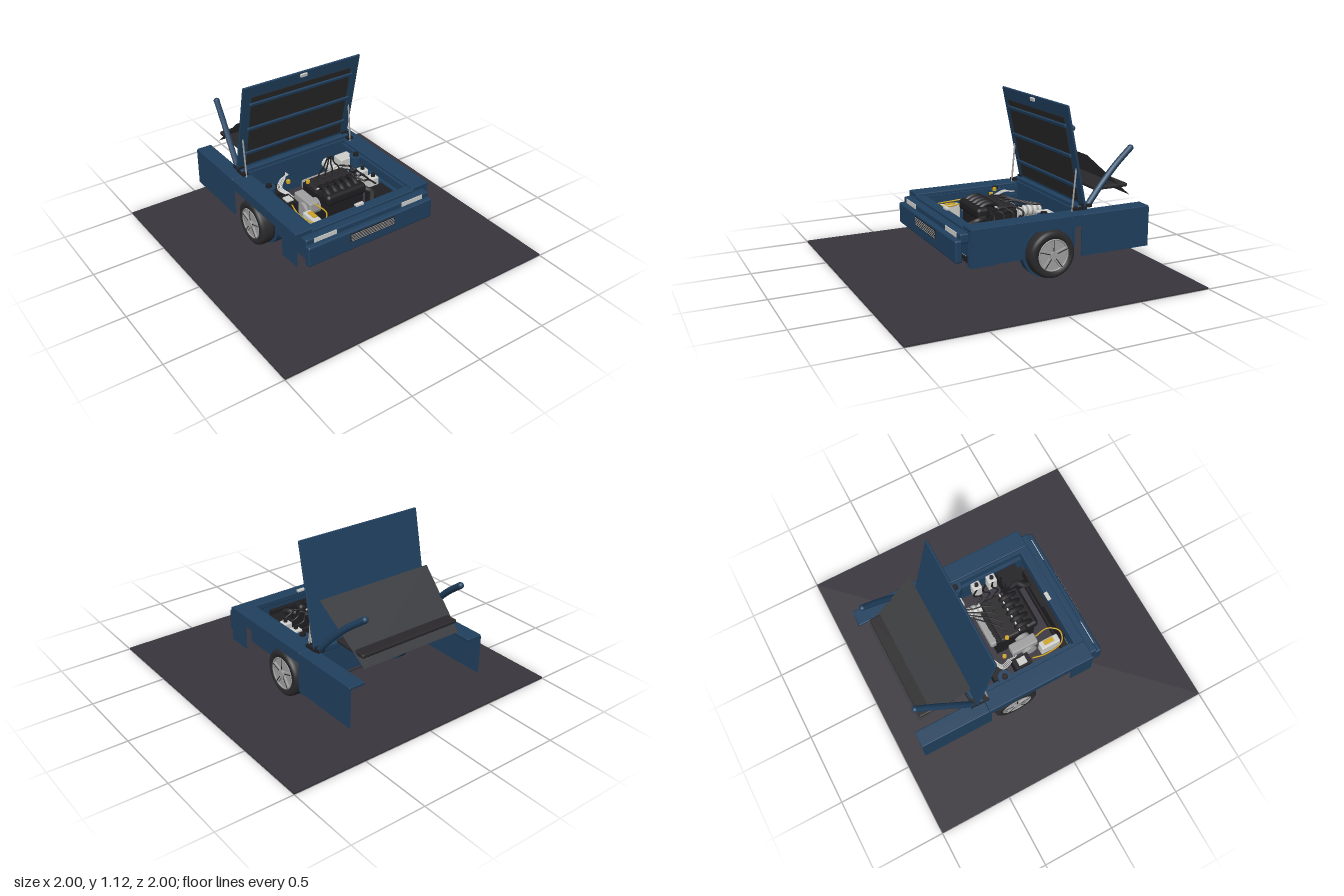
import * as THREE from 'three';
import { RoundedBoxGeometry } from 'three/addons/geometries/RoundedBoxGeometry.js';

const material = (name, color, side = THREE.FrontSide) => {
  const m = new THREE.MeshStandardMaterial({ color, side });
  m.name = name;
  return m;
};

export function createModel() {
  const blue = material('bodyBlue', 0x20405f);
  const ground = material('floorGrey', 0x38353c);
  const black = material('plasticBlack', 0x1f1e21);
  const rubber = material('tyreRubber', 0x2b2b2d);
  const lining = material('liningDark', 0x2a282a);
  const glass = material('tintedGlass', 0x3a3b3e, THREE.DoubleSide);
  const silver = material('metalGrey', 0xa0a0a0);
  const white = material('paleGrey', 0xcfcfcc);
  const yellow = material('yellow', 0xcfa520);

  const model = new THREE.Group();
  model.name = 'openHoodCarFront';
  let parent = model;

  const add = (name, geometry, mat, x = 0, y = 0, z = 0) => {
    const mesh = new THREE.Mesh(geometry, mat);
    mesh.name = name;
    mesh.position.set(x, y, z);
    parent.add(mesh);
    return mesh;
  };
  // Box given by its limits on each axis
  const box = (name, mat, x0, x1, y0, y1, z0, z1, round = 0) => {
    const s = [x1 - x0, y1 - y0, z1 - z0];
    const g = round ? new RoundedBoxGeometry(...s, 2, round) : new THREE.BoxGeometry(...s);
    return add(name, g, mat, (x0 + x1) / 2, (y0 + y1) / 2, (z0 + z1) / 2);
  };
  const tube = (name, mat, r, points, closed = false) => {
    const curve = new THREE.CatmullRomCurve3(points.map(p => new THREE.Vector3(...p)), closed);
    return add(name, new THREE.TubeGeometry(curve, points.length * 6, r, 8, closed), mat);
  };
  const cyl = (name, mat, r, h, x, y, z, axis = 'y') => {
    const m = add(name, new THREE.CylinderGeometry(r, r, h, 32), mat, x, y, z);
    if (axis === 'x') m.rotation.z = Math.PI / 2;
    if (axis === 'z') m.rotation.x = Math.PI / 2;
    return m;
  };
  const group = name => {
    const g = new THREE.Group();
    g.name = name;
    model.add(g);
    parent = g;
    return g;
  };

  box('groundPlate', ground, -1, 1, 0, 0.01, -1, 1);

  // Body sides: thin skins, inner walls, wheel housings, wheels and pillars
  for (const s of [1, -1]) {
    const side = group(s > 0 ? 'leftSide' : 'rightSide');
    const mbox = (name, mat, x0, x1, ...rest) =>
      s > 0 ? box(name, mat, x0, x1, ...rest) : box(name, mat, -x1, -x0, ...rest);

    const skin = new THREE.Shape([
      [0.39, 0.19], [0.39, 0.43], [-0.37, 0.43], [-0.37, 0.36], [0.23, 0.36], [0.23, 0.19],
    ].map(p => new THREE.Vector2(-p[0], p[1])));
    const fender = add('fenderSkin', new THREE.ExtrudeGeometry(skin, { depth: 0.01, bevelEnabled: false }),
      blue, s > 0 ? 0.51 : -0.52);
    fender.rotation.y = Math.PI / 2;
    mbox('fenderTop', blue, 0.39, 0.52, 0.412, 0.432, -0.38, 0.39, 0.006);
    mbox('rearPanelSkin', blue, 0.51, 0.52, 0.16, 0.42, -0.87, -0.37);
    mbox('rearPanelTop', blue, 0.41, 0.52, 0.412, 0.432, -0.87, -0.38, 0.006);
    mbox('bayWall', blue, 0.37, 0.40, 0.15, 0.415, -0.38, 0.35);
    mbox('bayRail', blue, 0.345, 0.375, 0.30, 0.36, -0.35, 0.32);
    cyl('wheelHousing', blue, 0.168, 0.055, s * 0.378, 0.182, -0.18, 'x');
    cyl('strutTower', blue, 0.045, 0.10, s * 0.355, 0.365, -0.185);
    cyl('strutCap', black, 0.02, 0.02, s * 0.355, 0.422, -0.185);

    // Windshield pillar and hood prop
    tube('windshieldPillar', blue, 0.021,
      [[s * 0.43, 0.46, -0.46], [s * 0.415, 0.585, -0.57], [s * 0.395, 0.695, -0.685], [s * 0.37, 0.79, -0.81]]);
    add('pillarTip', new THREE.SphereGeometry(0.021, 16, 10), blue, s * 0.37, 0.79, -0.81);
    tube('hoodProp', silver, 0.006, [[s * 0.425, 0.43, -0.35], [s * 0.425, 0.57, -0.362], [s * 0.425, 0.71, -0.375]]);
    mbox('hoodHinge', black, 0.41, 0.45, 0.44, 0.457, -0.44, -0.35);
    mbox('hingeFoot', black, 0.40, 0.45, 0.45, 0.475, -0.48, -0.41);

    // Wheel with tyre, dished rim and five spokes, built facing +x
    const wheel = new THREE.Group();
    wheel.name = 'wheel';
    wheel.position.set(s * 0.46, 0.19, -0.175);
    if (s < 0) wheel.rotation.y = Math.PI;
    side.add(wheel);
    parent = wheel;
    const profile = [[0.10, -0.052], [0.135, -0.054], [0.15, -0.045], [0.156, -0.025], [0.156, 0.025],
      [0.15, 0.045], [0.135, 0.054], [0.105, 0.05], [0.10, 0.03]].map(p => new THREE.Vector2(...p));
    add('tyre', new THREE.LatheGeometry(profile, 48), rubber).rotation.z = -Math.PI / 2;
    cyl('rimBack', silver, 0.104, 0.09, -0.004, 0, 0, 'x');
    add('rimLip', new THREE.TorusGeometry(0.102, 0.006, 8, 40), silver, 0.048).rotation.y = Math.PI / 2;
    cyl('hubCap', silver, 0.026, 0.02, 0.05, 0, 0, 'x');
    for (let i = 0; i < 5; i++) {
      const a = i * Math.PI * 0.4 + Math.PI / 2;
      const spoke = add('spoke', new THREE.BoxGeometry(0.012, 0.08, 0.026), silver,
        0.047, Math.sin(a) * 0.062, Math.cos(a) * 0.062);
      spoke.rotation.x = Math.PI / 2 - a;
      const gap = add('spokeSlot', new THREE.BoxGeometry(0.005, 0.075, 0.005), black,
        0.052, Math.sin(a) * 0.065, Math.cos(a) * 0.065);
      gap.rotation.x = Math.PI / 2 - a;
    }
  }

  // Front end: bumper, light bar, grille, lamps
  group('frontEnd');
  box('bumper', blue, -0.485, 0.485, 0.222, 0.365, 0.432, 0.48, 0.012);
  box('lightBar', blue, -0.48, 0.48, 0.34, 0.402, 0.385, 0.445, 0.01);
  box('noseRim', blue, -0.40, 0.40, 0.38, 0.42, 0.325, 0.395, 0.006);
  box('frontWall', blue, -0.39, 0.39, 0.22, 0.39, 0.335, 0.355);
  box('grille', black, -0.175, 0.175, 0.288, 0.348, 0.47, 0.483);
  for (let i = 0; i < 5; i++) box('grilleSlat', silver, -0.17, 0.17, 0.294 + i * 0.011, 0.297 + i * 0.011, 0.48, 0.486);
  for (const s of [1, -1]) add('headlight', new THREE.BoxGeometry(0.17, 0.03, 0.012), white, s * 0.34, 0.383, 0.442);
  box('hoodCatch', white, -0.03, 0.03, 0.42, 0.432, 0.32, 0.345);
  box('underTray', black, -0.35, 0.35, 0.155, 0.222, 0.28, 0.33);
  box('trayTrim', silver, -0.31, 0.31, 0.198, 0.205, 0.33, 0.336);

  // Cowl, firewall and bay floor
  group('bayShell');
  box('cowl', blue, -0.44, 0.44, 0.425, 0.465, -0.455, -0.385, 0.008);
  box('firewall', blue, -0.41, 0.41, 0.19, 0.44, -0.39, -0.37);
  box('bayFloor', ground, -0.37, 0.37, 0.15, 0.165, -0.37, 0.33);
  box('radiator', black, -0.27, 0.27, 0.18, 0.36, 0.29, 0.32);
  box('radiatorCap', black, -0.03, 0.14, 0.34, 0.36, 0.275, 0.295);

  // Raised hood, hinged at its rear edge
  const hood = group('hood');
  hood.position.set(0, 0.455, -0.432);
  hood.rotation.x = 0.21;
  box('hoodPanel', blue, -0.453, 0.453, 0, 0.675, -0.008, 0.006, 0.005);
  box('hoodLining', lining, -0.385, 0.385, 0.03, 0.59, 0.004, 0.01);
  for (const y of [0.135, 0.338, 0.537]) box('hoodRib', blue, -0.402, 0.402, y - 0.012, y + 0.012, 0.006, 0.022, 0.005);
  box('hoodLatch', white, -0.025, 0.025, 0.64, 0.662, 0.004, 0.018);

  // Tilted windshield and dashboard shelf
  group('windshieldAndDash');
  const pane = new THREE.BufferGeometry();
  pane.setAttribute('position', new THREE.Float32BufferAttribute([
    -0.42, 0.785, -0.455, 0.42, 0.785, -0.455, 0.37, 0.475, -0.815, -0.37, 0.475, -0.815], 3));
  pane.setIndex([0, 2, 1, 0, 3, 2]);
  pane.computeVertexNormals();
  add('windshield', pane, glass);
  box('dashShelf', lining, -0.37, 0.37, 0.53, 0.556, -0.80, -0.55, 0.01);
  for (const x of [-0.2, 0.12]) tube('wiper', black, 0.005, [[x, 0.455, -0.45], [x - 0.1, 0.47, -0.47], [x - 0.22, 0.465, -0.465]]);

  // Engine with intake runners
  group('engine');
  box('engineBlock', black, -0.13, 0.16, 0.18, 0.40, -0.12, 0.16);
  box('valveCover', lining, -0.14, 0.17, 0.39, 0.44, -0.09, 0.05, 0.015);
  box('intakePlenum', black, -0.14, 0.17, 0.37, 0.445, 0.10, 0.19, 0.025);
  for (let i = 0; i < 5; i++) {
    const x = -0.10 + i * 0.055;
    tube('intakeRunner', black, 0.018, [[x, 0.41, 0.02], [x, 0.452, 0.06], [x, 0.45, 0.12], [x, 0.41, 0.17]]);
    cyl('coilCap', rubber, 0.013, 0.02, x + 0.02, 0.445, -0.03);
  }
  box('exhaustShield', silver, -0.12, 0.14, 0.33, 0.40, -0.16, -0.10, 0.015);
  box('coverRail', white, -0.13, 0.16, 0.435, 0.442, 0.045, 0.055);
  cyl('gearHousing', silver, 0.05, 0.12, -0.20, 0.33, 0.06, 'x');
  box('sideBracket', silver, -0.24, -0.17, 0.33, 0.40, -0.06, 0.13, 0.01);
  for (const [x, z] of [[-0.24, -0.125], [-0.135, -0.05]]) cyl('fillerCap', yellow, 0.014, 0.02, x, 0.445, z);

  // Ribbed air duct
  for (let i = 0; i < 9; i++) cyl('ductRib', i % 2 ? silver : white, i % 2 ? 0.032 : 0.037, 0.02, 0.155, 0.39, -0.25 + i * 0.018, 'z');

  // Boxes and reservoirs around the bay
  group('bayEquipment');
  box('battery', white, 0.235, 0.345, 0.28, 0.41, -0.28, -0.19, 0.008);
  box('batteryTop', black, 0.23, 0.35, 0.25, 0.30, -0.29, -0.18);
  for (const z of [-0.045, 0.07]) {
    box('reservoir', white, 0.28, 0.34, 0.26, 0.39, z - 0.035, z + 0.03, 0.008);
    cyl('reservoirCap', black, 0.014, 0.02, 0.31, 0.40, z);
  }
  box('airBox', black, 0.21, 0.345, 0.20, 0.35, 0.12, 0.27);
  box('fuseBox', black, -0.345, -0.265, 0.26, 0.38, -0.09, 0.03);
  box('fuseLid', white, -0.33, -0.28, 0.38, 0.388, -0.06, 0.0);
  box('brakeBox', black, -0.34, -0.26, 0.25, 0.37, -0.25, -0.14);
  box('washerTank', white, -0.30, -0.24, 0.25, 0.37, 0.13, 0.27, 0.01);
  box('washerLabel', yellow, -0.28, -0.25, 0.37, 0.376, 0.16, 0.23);

  // Hoses and wires
  group('hoses');
  tube('yellowHose', yellow, 0.005, [[-0.32, 0.38, 0.04], [-0.335, 0.37, 0.14], [-0.31, 0.37, 0.27],
    [-0.24, 0.38, 0.295], [-0.185, 0.38, 0.23], [-0.20, 0.39, 0.13]]);
  for (let i = 0; i < 4; i++) {
    tube('paleHose', white, 0.004, [[-0.18, 0.43, -0.25 + i * 0.01], [-0.22 - i * 0.012, 0.425, -0.20],
      [-0.27 - i * 0.01, 0.39, -0.16], [-0.25, 0.37, -0.10 + i * 0.02]]);
    tube('blackCable', black, 0.006, [[0.17, 0.43, -0.12 + i * 0.06], [0.20, 0.445 - i * 0.008, -0.06 + i * 0.06],
      [0.24, 0.41, -0.1 + i * 0.07], [0.29, 0.37, -0.05 + i * 0.06]]);
    tube('sparkLead', black, 0.005, [[-0.08 + i * 0.06, 0.45, -0.03], [-0.02 + i * 0.05, 0.458, -0.08],
      [0.06 + i * 0.03, 0.44, -0.15], [0.16 + i * 0.012, 0.43, -0.25]]);
  }
  tube('coolantHose', rubber, 0.018, [[0.17, 0.38, 0.14], [0.20, 0.38, 0.20], [0.17, 0.35, 0.25], [0.17, 0.33, 0.30]]);

  return model;
}
